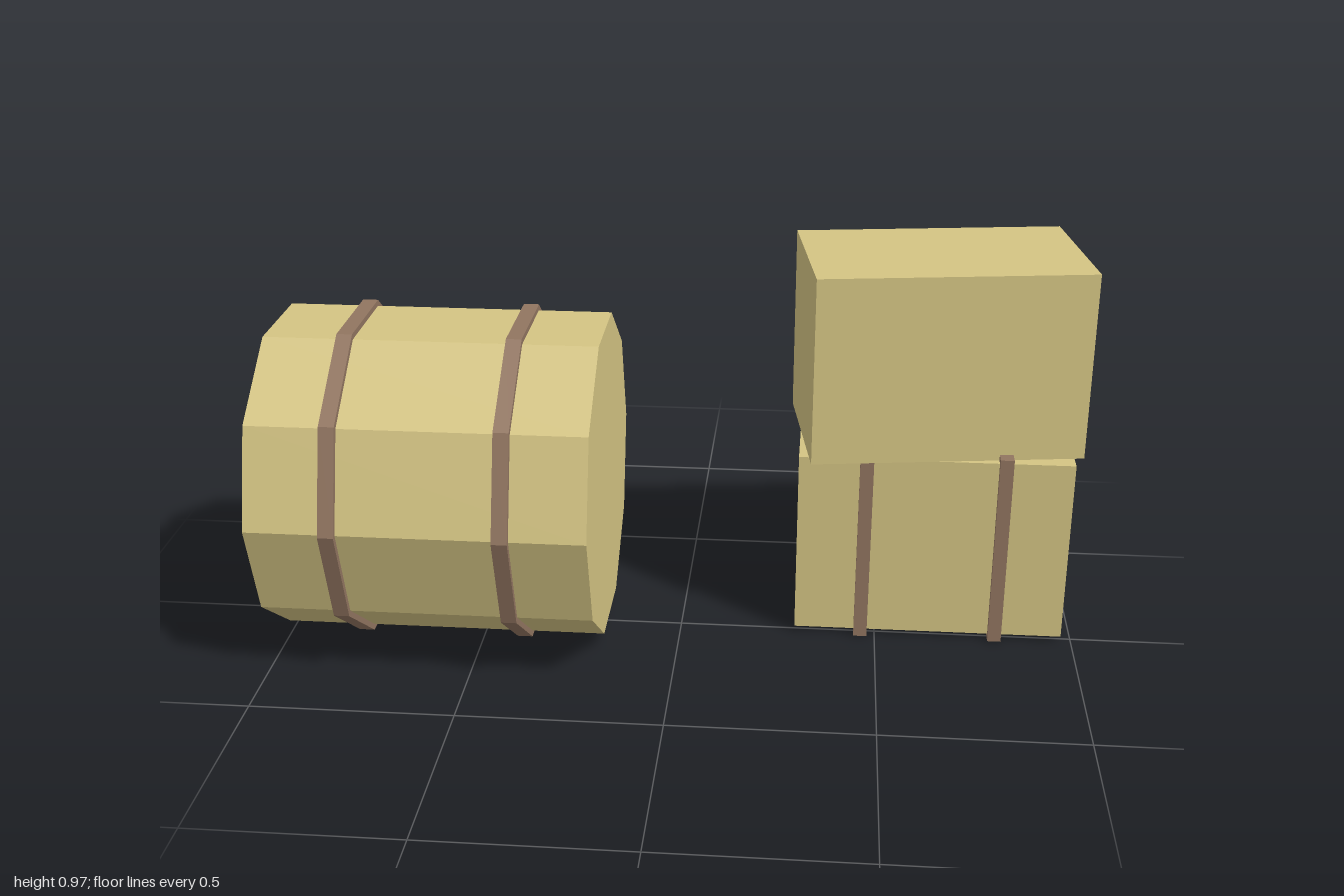
import * as THREE from 'three';

export function createModel() {
  const hay = new THREE.MeshStandardMaterial({ color: 0xd4c483, flatShading: true });
  hay.name = 'hay';
  const twine = new THREE.MeshStandardMaterial({ color: 0x917560, flatShading: true });
  twine.name = 'twine';

  const model = new THREE.Group();
  model.name = 'hayBales';

  const add = (parent, name, geometry, material, x, y, z) => {
    const mesh = new THREE.Mesh(geometry, material);
    mesh.name = name;
    mesh.position.set(x, y, z);
    parent.add(mesh);
    return mesh;
  };
  // Ten-sided drum lying along x, flat side down
  const drum = (radius, length) =>
    new THREE.CylinderGeometry(radius, radius, length, 10).rotateZ(Math.PI / 2);

  // Round bale with two bands
  const round = new THREE.Group();
  round.name = 'roundBale';
  round.position.set(-0.5925, 0.424, 0.013);
  model.add(round);
  add(round, 'roundBaleBody', drum(0.407, 0.815), hay, 0, 0, 0);
  for (const side of [-1, 1]) {
    add(round, 'roundBaleBand', drum(0.422, 0.038), twine, side * 0.205, 0, 0);
  }

  // Lower square bale with two bands
  const lower = new THREE.Group();
  lower.name = 'lowerBale';
  lower.position.set(0.634, 0.2525, -0.189);
  model.add(lower);
  add(lower, 'lowerBaleBody', new THREE.BoxGeometry(0.68, 0.476, 0.408), hay, 0, 0, 0);
  for (const side of [-1, 1]) {
    add(lower, 'lowerBaleBand', new THREE.BoxGeometry(0.034, 0.505, 0.435), twine, side * 0.171, 0, 0);
  }

  // Upper square bale, stacked at a slight turn
  const upper = add(model, 'upperBale', new THREE.BoxGeometry(0.68, 0.476, 0.408), hay, 0.633, 0.729, -0.189);
  upper.rotation.y = THREE.MathUtils.degToRad(8);

  return model;
}
